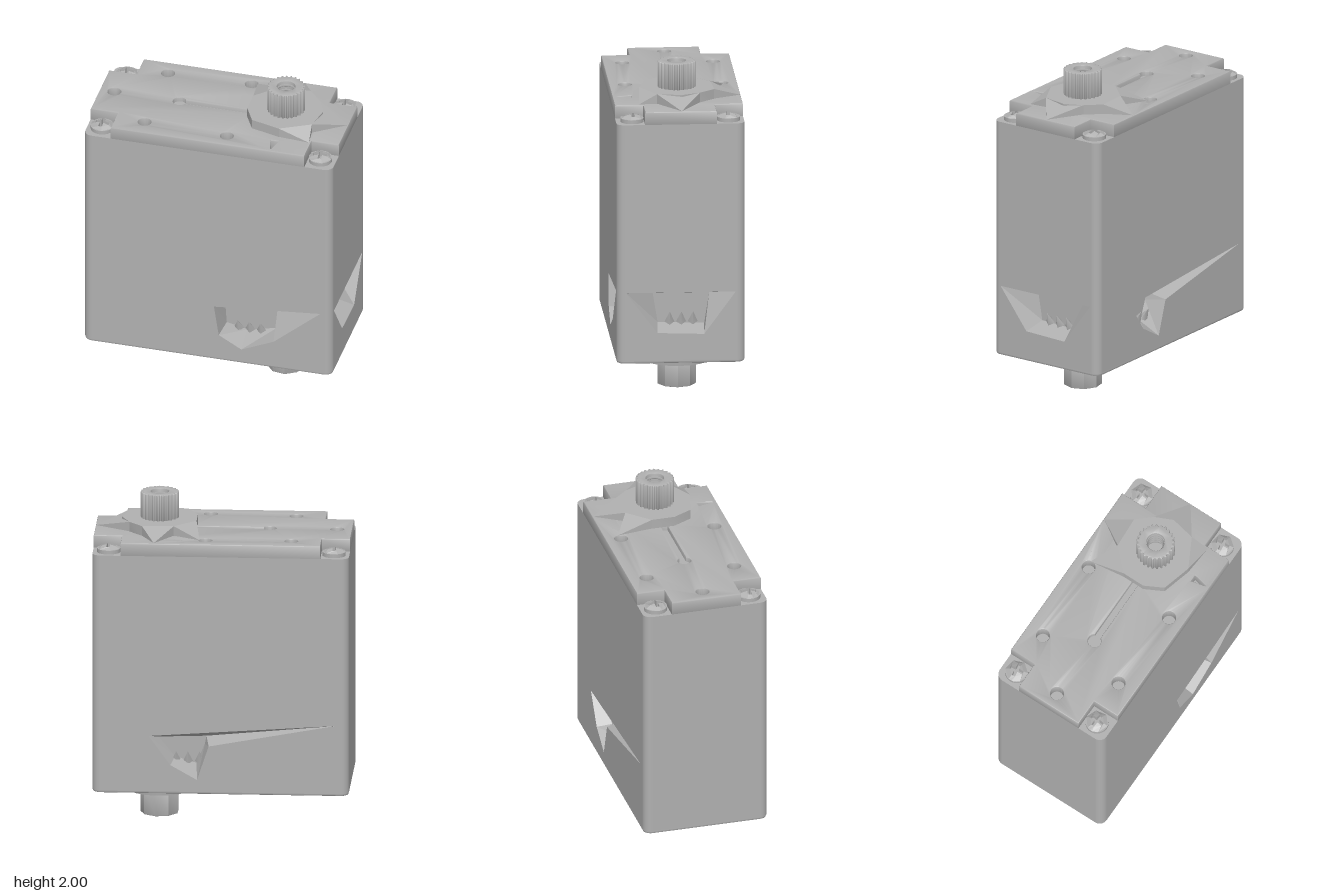
import * as THREE from 'three';
import { toCreasedNormals } from 'three/addons/utils/BufferGeometryUtils.js';

const W = 0.77, D = 0.385, R = 0.05, SHAFT_X = 0.385;

export function createModel() {
  const model = new THREE.Group();
  const grey = new THREE.MeshStandardMaterial({ color: 0xb0b0b0, side: THREE.DoubleSide });
  grey.name = 'casing grey';

  const add = (name, geo, x = 0, y = 0, z = 0, parent = model) => {
    const mesh = new THREE.Mesh(geo, grey);
    mesh.name = name;
    mesh.position.set(x, y, z);
    parent.add(mesh);
    return mesh;
  };
  const poly = (pts, Type = THREE.Shape) => new Type(pts.map(p => new THREE.Vector2(p[0], p[1])));
  const ring = (x, y, r) => new THREE.Path().absarc(x, y, r, 0, Math.PI * 2, true);
  const roundedRect = () => {
    const s = new THREE.Shape(), a = W - R, b = D - R;
    s.absarc(a, b, R, 0, Math.PI / 2);
    s.absarc(-a, b, R, Math.PI / 2, Math.PI);
    s.absarc(-a, -b, R, Math.PI, Math.PI * 1.5);
    s.absarc(a, -b, R, Math.PI * 1.5, Math.PI * 2);
    return s;
  };
  // Horizontal slab: shape (x, -z) raised along y
  const slab = (shape, depth, bevel = 0, curveSegments = 16) => {
    const g = new THREE.ExtrudeGeometry(shape, {
      depth, curveSegments, bevelEnabled: bevel > 0, bevelThickness: bevel,
      bevelSize: bevel, bevelOffset: -bevel, bevelSegments: 2,
    });
    g.rotateX(-Math.PI / 2).translate(0, bevel, 0);
    return toCreasedNormals(g, 0.6);
  };
  const triangles = list => {
    const g = new THREE.BufferGeometry();
    g.setAttribute('position', new THREE.Float32BufferAttribute(list.flat(2), 3));
    g.computeVertexNormals();
    return g;
  };

  // Side walls, each with an optional angular recess
  const wall = (name, half, dist, angle, rim, inner, depth) => {
    const g = new THREE.Group();
    g.name = name;
    g.rotation.y = angle;
    model.add(g);
    const shape = poly([[-half, 0.24], [half, 0.24], [half, 1.7], [-half, 1.7]]);
    if (rim) shape.holes.push(poly(rim, THREE.Path));
    add(name + 'Panel', new THREE.ShapeGeometry(shape), 0, 0, dist, g);
    if (!rim) return;
    const tris = [];
    rim.forEach((p, i) => {
      const j = (i + 1) % rim.length;
      const a = [...p, 0], b = [...rim[j], 0], c = [...inner[j], -depth], d = [...inner[i], -depth];
      tris.push([a, b, c], [a, c, d]);
    });
    add('recessSides', triangles(tris), 0, 0, dist, g);
    add('recessFloor', new THREE.ShapeGeometry(poly(inner)), 0, 0, dist - depth, g);
    // Contact stubs in the recess
    const cx = inner.reduce((s, p) => s + p[0], 0) / inner.length;
    const low = Math.min(...inner.map(p => p[1]));
    for (const i of [-1, 0, 1]) {
      const pin = add('contact', new THREE.ConeGeometry(0.03, 0.08, 4), cx + i * 0.07, low + 0.05, dist - depth + 0.03, g);
      pin.rotation.x = 0.5;
    }
  };
  wall('front', W - R, D, 0,
    [[0.04, 0.6], [0.07, 0.4], [0.21, 0.32], [0.41, 0.41], [0.7, 0.66]],
    [[0.07, 0.54], [0.08, 0.4], [0.21, 0.37], [0.39, 0.41], [0.4, 0.59]], 0.15);
  wall('leftSide', D - R, W, Math.PI / 2,
    [[-0.33, 0.66], [-0.14, 0.41], [0.14, 0.4], [0.33, 0.66]],
    [[-0.16, 0.62], [-0.13, 0.44], [0.15, 0.43], [0.18, 0.62]], 0.15);
  wall('back', W - R, D, Math.PI,
    [[-0.43, 0.58], [-0.3, 0.4], [-0.14, 0.31], [-0.07, 0.52], [0.69, 0.66]],
    [[-0.38, 0.54], [-0.28, 0.42], [-0.15, 0.38], [-0.1, 0.5], [-0.09, 0.55]], 0.13);
  wall('rightSide', D - R, W, -Math.PI / 2);

  // Rounded vertical corners
  [[1, 1, 0], [1, -1, 1], [-1, -1, 2], [-1, 1, 3]].forEach(([sx, sz, q]) =>
    add('corner', new THREE.CylinderGeometry(R, R, 1.46, 8, 1, true, q * Math.PI / 2, Math.PI / 2),
      sx * (W - R), 0.97, sz * (D - R)));

  // Bottom plate with six blind screw holes
  const bottom = roundedRect();
  for (const x of [-0.69, -0.15, 0.69]) for (const z of [-0.305, 0.305])
    bottom.holes.push(ring(x, z, 0.03));
  add('bottomPlate', slab(bottom, 0.001, 0.015), 0, 0.22);
  add('bottomHoleFloor', new THREE.BoxGeometry(1.46, 0.01, 0.7), 0, 0.262);
  const edge = roundedRect();
  edge.holes.push(poly([[-0.7, -0.3], [-0.7, 0.3], [0.7, 0.3], [0.7, -0.3]], THREE.Path));
  add('bottomRim', slab(edge, 0.007), 0, 0.235);

  // Ledge under the lid, seen in the four corner notches
  add('ledge', new THREE.ShapeGeometry(roundedRect(), 8).rotateX(-Math.PI / 2), 0, 1.7);

  // Lid: cross-shaped plate with holes, keyhole slot and two small grooves
  const nx = 0.6, nz = 0.215;
  const lid = poly([[-nx, -D], [nx, -D], [nx, -nz], [W, -nz], [W, nz], [nx, nz],
    [nx, D], [-nx, D], [-nx, nz], [-W, nz], [-W, -nz], [-nx, -nz]]);
  [[-0.42, 0.275], [-0.42, -0.27], [0.095, 0.29], [0.095, -0.29], [-0.68, 0]]
    .forEach(([x, y]) => lid.holes.push(ring(x, y, 0.04)));
  const slot = new THREE.Path();
  slot.moveTo(0.17, -0.02).lineTo(0.17, 0.02).lineTo(-0.24, 0.02);
  slot.absarc(-0.275, 0, 0.04, 0.52, Math.PI * 2 - 0.52, false);
  slot.closePath();
  lid.holes.push(slot);
  for (const s of [-1, 1])
    lid.holes.push(poly([[0.365, s * 0.27], [0.405, s * 0.27], [0.385, s * 0.37]], THREE.Path));
  add('lid', slab(lid, 0.072, 0.008), 0, 1.692);
  add('slotFloor', new THREE.BoxGeometry(0.5, 0.01, 0.1), -0.07, 1.745);

  // Cross-head screws in the notches
  for (const x of [-0.678, 0.675]) for (const z of [-0.292, 0.288]) {
    const head = new THREE.Shape().absarc(0, 0, 0.07, 0, Math.PI * 2);
    const a = 0.011, b = 0.042;
    head.holes.push(poly([[a, a], [b, a], [b, -a], [a, -a], [a, -b], [-a, -b],
      [-a, -a], [-b, -a], [-b, a], [-a, a], [-a, b], [a, b]], THREE.Path));
    const g = slab(head, 0.035, 0, 24);
    const p = g.attributes.position;
    for (let i = 0; i < p.count; i++) { // domed top
      const r = Math.hypot(p.getX(i), p.getZ(i));
      if (p.getY(i) > 0.02) p.setY(i, 0.048 - r * r * 5);
    }
    g.computeVertexNormals();
    add('screw', g, x, 1.7, z).rotation.y = x * z > 0 ? 0.1 : -0.1;
  }

  // Faceted upper bearing collar with fins running down to the lid
  const collar = [[0.16, -0.08], [0.29, -0.21], [0.48, -0.22], [0.56, -0.13], [0.61, -0.02],
    [0.58, 0.13], [0.4, 0.225], [0.22, 0.175], [0.16, 0.06]];
  add('upperCollar', slab(poly(collar.map(([x, z]) => [x, -z])), 0.06), 0, 1.78);
  const fin = (name, a, b, tip, top, base) => {
    const A = [a[0], top, a[1]], B = [b[0], top, b[1]], T = [tip[0], base, tip[1]];
    const A0 = [a[0], base, a[1]], B0 = [b[0], base, b[1]];
    add(name, triangles([[A, T, B], [A, A0, T], [B, T, B0]]));
  };
  const upper = (a, b, tip) => fin('upperFin', collar[a], collar[b], tip, 1.84, 1.781);
  upper(0, 1, [0.13, -0.3]);
  upper(1, 2, [0.4, -0.38]);
  upper(3, 5, [0.768, -0.005]);
  upper(5, 6, [0.59, 0.24]);

  // Lower bearing collar with its fins
  add('lowerCollar', new THREE.CylinderGeometry(0.225, 0.218, 0.06, 20), SHAFT_X, 0.19);
  fin('lowerFin', [0.18, -0.08], [0.2, 0.06], [-0.1, -0.24], 0.162, 0.219);
  fin('lowerFin', [0.18, -0.05], [0.24, 0.14], [0.0, 0.13], 0.162, 0.219);

  // Splined output shaft with a threaded bore
  const spline = [];
  const teeth = 25;
  for (let i = 0; i < teeth * 4; i++) {
    const r = i % 4 < 2 ? 0.115 : 0.104, t = i / (teeth * 4) * Math.PI * 2;
    spline.push([r * Math.cos(t), r * Math.sin(t)]);
  }
  const shaft = poly(spline);
  shaft.holes.push(ring(0, 0, 0.055));
  add('outputShaft', slab(shaft, 0.16, 0.006), SHAFT_X, 1.828);
  for (let i = 0; i < 4; i++)
    add('boreThread', new THREE.TorusGeometry(0.055, 0.008, 4, 20).rotateX(Math.PI / 2), SHAFT_X, 1.87 + i * 0.033);

  // Lower pivot: faceted post with a bore
  const pivot = poly(Array.from({ length: 9 }, (_, i) => {
    const t = i / 9 * Math.PI * 2;
    return [0.117 * Math.cos(t), 0.117 * Math.sin(t)];
  }));
  pivot.holes.push(ring(0, 0, 0.05));
  add('lowerPivot', slab(pivot, 0.155, 0.006), SHAFT_X, 0);

  return model;
}
